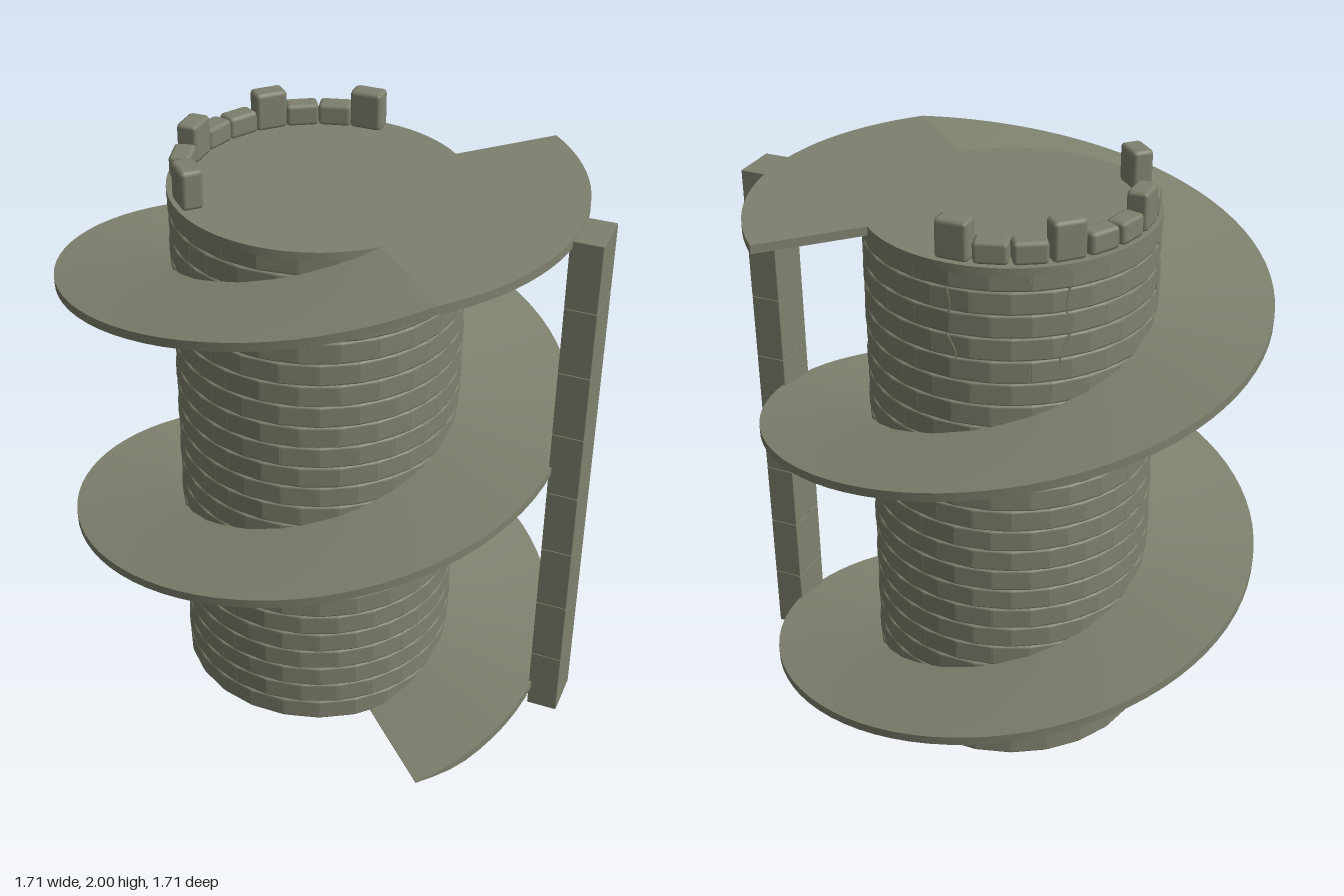
import * as THREE from 'three';
import { mergeGeometries } from 'three/addons/utils/BufferGeometryUtils.js';
import { RoundedBoxGeometry } from 'three/addons/geometries/RoundedBoxGeometry.js';

const TOP = 1.87, SLAB = 0.03, OUTER = 0.853, INNER = 0.46;
const rad = THREE.MathUtils.degToRad;

export function createModel() {
  const model = new THREE.Group();
  const stone = new THREE.MeshStandardMaterial({ color: 0x7f816e });
  stone.name = 'greyGreenStone';

  const add = (name, geometry) => {
    const mesh = new THREE.Mesh(geometry, stone);
    mesh.name = name;
    model.add(mesh);
    return mesh;
  };

  // Bevelled block standing at an angle around the tower (0 = front, towards +x)
  const block = (w, h, d, bevel, angle, r, y) =>
    new RoundedBoxGeometry(w, h, d, 1, bevel).translate(0, y, r).rotateY(angle);

  // Curved slab: a box bent around the tower, its top following topAt(angle)
  const curvedSlab = (from, to, segments, topAt) => {
    const g = new THREE.BoxGeometry(1, 1, 1, segments, 1, 1);
    const p = g.attributes.position;
    for (let i = 0; i < p.count; i++) {
      const a = from + (p.getX(i) + 0.5) * (to - from);
      const r = p.getZ(i) > 0 ? OUTER : INNER;
      const top = topAt(a);
      const y = p.getY(i) > 0 ? top : Math.max(0, top - SLAB);
      p.setXYZ(i, Math.sin(a) * r, y, Math.cos(a) * r);
    }
    g.computeVertexNormals();
    return g;
  };

  // Tower core and its flat cap
  add('towerCore', new THREE.CylinderGeometry(0.472, 0.472, 1.85, 64).translate(0, 0.925, 0));
  add('towerCap', new THREE.CylinderGeometry(0.482, 0.482, SLAB, 64).translate(0, TOP - SLAB / 2, 0));

  // Staggered brick courses
  const rows = 24, perRow = 24, rowHeight = 1.866 / rows;
  const bricks = [];
  for (let row = 0; row < rows; row++) {
    for (let i = 0; i < perRow; i++) {
      const angle = ((i + (row % 2) / 2) / perRow) * Math.PI * 2;
      bricks.push(block(0.134, rowHeight, 0.06, 0.008, angle, 0.447, (row + 0.5) * rowHeight));
    }
  }
  add('towerBricks', mergeGeometries(bricks));

  // Spiral ramp: two turns from the ground up to the cap
  add('spiralRamp', curvedSlab(0, Math.PI * 4, 160, a => Math.max(0.003, (a / (Math.PI * 4)) * TOP)));

  // Flat quarter landing at the top of the ramp
  add('topLanding', curvedSlab(0, Math.PI / 2, 24, () => TOP));

  // Square post under the landing, stacked from eight blocks
  const postBlocks = 8, postHeight = 1.864 / postBlocks;
  const post = [];
  for (let i = 0; i < postBlocks; i++) {
    post.push(block(0.165, postHeight, 0.105, 0.003, Math.PI / 4, 0.892, (i + 0.5) * postHeight));
  }
  add('supportPost', mergeGeometries(post));

  // Battlement around the back; every third merlon is tall
  for (const deg of [135, 150, 165, 180, 195, 210, 225, 240, 270]) {
    const tall = deg % 45 === 0;
    const h = tall ? 0.13 : 0.075;
    add(tall ? 'tallMerlon' : 'lowMerlon', block(0.11, h, 0.072, 0.014, rad(deg), 0.435, TOP + h / 2));
  }

  // Thin cracks running down from the cap
  const cracks = [28, 76, 133, 180, 232, 283, 330].map((deg, n) => {
    const points = [0, 1, 2, 3, 4].map(k => {
      const a = rad(deg + [0, 2, 0, 4, 3][k] * (n % 2 ? -1 : 1));
      return new THREE.Vector3(Math.sin(a) * 0.476, 1.81 - k * 0.08, Math.cos(a) * 0.476);
    });
    return new THREE.TubeGeometry(new THREE.CatmullRomCurve3(points), 16, 0.004, 4);
  });
  add('wallCracks', mergeGeometries(cracks));

  return model;
}
